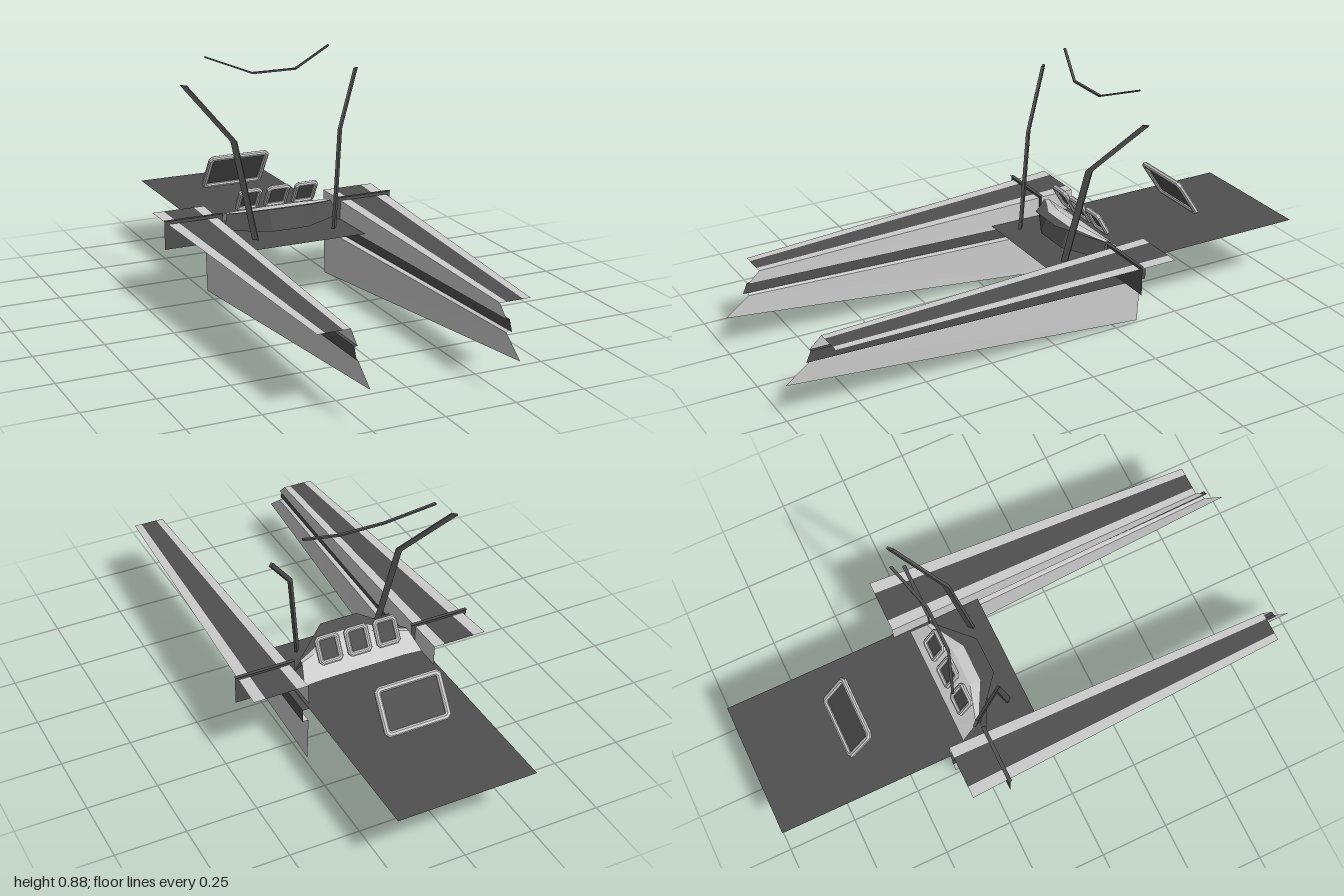
import * as THREE from 'three';

const light = new THREE.MeshStandardMaterial({ color: 0xcccccc, side: THREE.DoubleSide, flatShading: true });
const dark = new THREE.MeshStandardMaterial({ color: 0x505050, side: THREE.DoubleSide, flatShading: true });

function add(parent, name, geometry, material) {
  const mesh = new THREE.Mesh(geometry, material);
  mesh.name = name;
  parent.add(mesh);
  return mesh;
}

// Skin between rows of points; closed joins each row into a ring and caps the ends
function skin(rows, closed = false) {
  const pos = [];
  const n = rows[0].length;
  const tri = (...p) => p.forEach((v) => pos.push(...v));
  for (let i = 0; i < rows.length - 1; i++) {
    for (let j = 0; j < (closed ? n : n - 1); j++) {
      const k = (j + 1) % n;
      const [a, b, c, d] = [rows[i][j], rows[i][k], rows[i + 1][k], rows[i + 1][j]];
      tri(a, b, c);
      tri(a, c, d);
    }
  }
  if (closed) {
    const last = rows[rows.length - 1];
    for (let j = 1; j < n - 1; j++) {
      tri(rows[0][0], rows[0][j + 1], rows[0][j]);
      tri(last[0], last[j], last[j + 1]);
    }
  }
  const g = new THREE.BufferGeometry();
  g.setAttribute('position', new THREE.Float32BufferAttribute(pos, 3));
  g.computeVertexNormals();
  return g;
}

// Rectangle-section beam through points; section spanned by half-size vectors u and v
function beam(points, u, v) {
  const at = (p, a, b) => p.map((c, i) => c + a * u[i] + b * v[i]);
  return skin(points.map((p) => [at(p, -1, -1), at(p, 1, -1), at(p, 1, 1), at(p, -1, 1)]), true);
}

// Mirrored polyline across the width, from the half on the +x side (outer to inner)
const across = (half) => [
  ...half.map(([x, y, z]) => [-x, y, z]),
  ...half.slice().reverse(),
];

// Rectangle with cut corners
function cutRect(Path, w, h, c) {
  const p = new Path();
  const x = w / 2, y = h / 2;
  p.moveTo(-x + c, -y);
  [[x - c, -y], [x, -y + c], [x, y - c], [x - c, y], [-x + c, y], [-x, y - c], [-x, -y + c]]
    .forEach(([a, b]) => p.lineTo(a, b));
  p.closePath();
  return p;
}

// Framed display, tilted so its top leans forward
function display(parent, name, w, h, rim, x, y, z, tilt) {
  const g = new THREE.Group();
  g.name = name;
  const depth = 0.008, bevel = 0.005;
  const frame = cutRect(THREE.Shape, w - 2 * bevel, h - 2 * bevel, rim * 0.8);
  frame.holes.push(cutRect(THREE.Path, w - 2 * rim, h - 2 * rim, rim * 0.5));
  const geo = new THREE.ExtrudeGeometry(frame, {
    depth, bevelEnabled: true, bevelSize: bevel, bevelThickness: bevel, bevelSegments: 1,
  });
  geo.translate(0, 0, -depth / 2);
  add(g, name + 'Frame', geo, light);
  add(g, name + 'Screen', new THREE.ShapeGeometry(cutRect(THREE.Shape, w - 2 * rim, h - 2 * rim, rim * 0.5)), dark);
  g.position.set(x, y, z);
  g.rotation.x = tilt;
  parent.add(g);
}

// One side: long tapering console, grooved keel fin, end panel and canopy post
function buildSide(s) {
  const side = new THREE.Group();
  side.name = s > 0 ? 'leftSide' : 'rightSide';
  const P = (x, y, z) => [s * x, y, z];
  const strip = (name, front, rear, mat) => add(side, name, skin([front, rear]), mat);

  const fy = 0.283, fz = 0.87, ry = 0.32, rz = -0.36;
  strip('consoleOuterTrim', [P(0.372, fy, fz), P(0.345, fy, fz)], [P(0.438, ry, rz), P(0.395, ry, rz)], light);
  strip('consoleTop', [P(0.345, fy, fz), P(0.285, fy, fz)], [P(0.395, ry, rz), P(0.28, ry, rz)], dark);
  strip('consoleInnerTrim', [P(0.285, fy, fz), P(0.26, fy, fz)], [P(0.28, ry, rz), P(0.24, ry, rz)], light);
  strip('consoleInnerWall', [P(0.26, fy, fz), P(0.259, 0.243, 0.913)], [P(0.24, ry, rz), P(0.238, 0.223, rz)], light);

  // Dark groove between wall and fin
  strip('groove',
    [P(0.259, 0.243, 0.913), P(0.27, 0.243, 0.913), P(0.27, 0.205, 0.93)],
    [P(0.238, 0.223, rz), P(0.261, 0.223, rz), P(0.261, 0.173, rz)], dark);
  strip('keelFin',
    [P(0.27, 0.205, 0.91), P(0.259, 0.2, 0.915), P(0.259, 0.135, 1.0)],
    [P(0.261, 0.173, -0.355), P(0.238, 0.171, -0.355), P(0.238, 0, -0.345)], light);

  // Upright cross panel through the console, with a narrow top edge
  const panel = add(side, 'crossPanel', new THREE.PlaneGeometry(0.22, 0.105), dark);
  panel.position.set(s * 0.334, 0.277, -0.222);
  const edge = add(side, 'crossPanelEdge', new THREE.PlaneGeometry(0.22, 0.014), dark);
  edge.rotation.x = -Math.PI / 2;
  edge.position.set(s * 0.334, 0.3295, -0.222);

  // Bent canopy post
  add(side, 'canopyPost', beam(
    [P(0.153, 0.26, -0.093), P(0.205, 0.607, -0.155), P(0.335, 0.79, -0.292)],
    [0.008 * s, 0, -0.008], [0.003 * s, 0, 0.004]), dark);
  return side;
}

export function createModel() {
  const model = new THREE.Group();
  model.name = 'cockpit';

  // Flat floor sheet
  const floor = add(model, 'floor', new THREE.PlaneGeometry(0.5, 0.975), dark);
  floor.rotation.x = -Math.PI / 2;
  floor.position.set(0, 0.246, -0.5125);

  model.add(buildSide(1), buildSide(-1));

  // Dashboard: dark apron, upturned dark hood, light top and rear slope
  const base = across([[0.223, 0.267, -0.21], [0.155, 0.267, -0.175], [0.07, 0.267, -0.13]]);
  const rim = across([[0.205, 0.323, -0.228], [0.155, 0.329, -0.205], [0.07, 0.343, -0.16]]);
  const hood = across([[0.205, 0.325, -0.222], [0.155, 0.334, -0.18], [0.07, 0.356, -0.107]]);
  const ledge = across([[0.205, 0.323, -0.24], [0.155, 0.33, -0.225], [0.07, 0.341, -0.2]]);
  const rear = across([[0.225, 0.27, -0.3], [0.155, 0.275, -0.3], [0.07, 0.275, -0.3]]);
  add(model, 'dashApron', skin([base, rim]), dark);
  add(model, 'dashHood', skin([rim, hood]), dark);
  add(model, 'dashTop', skin([rim, ledge, rear]), light);

  // Three small displays and one large display behind them
  for (const i of [-1, 0, 1]) {
    display(model, 'dashDisplay', 0.09, 0.1, 0.011, i * 0.11, 0.359, -0.252, 0.52);
  }
  display(model, 'mainDisplay', 0.244, 0.168, 0.014, 0, 0.358, -0.636, 0.58);

  // Bent canopy bar overhead
  add(model, 'canopyBar', beam(
    across([[0.24, 0.876, -0.325], [0.083, 0.815, -0.27]]),
    [0, 0.003, 0], [0, 0, 0.005]), dark);

  return model;
}
